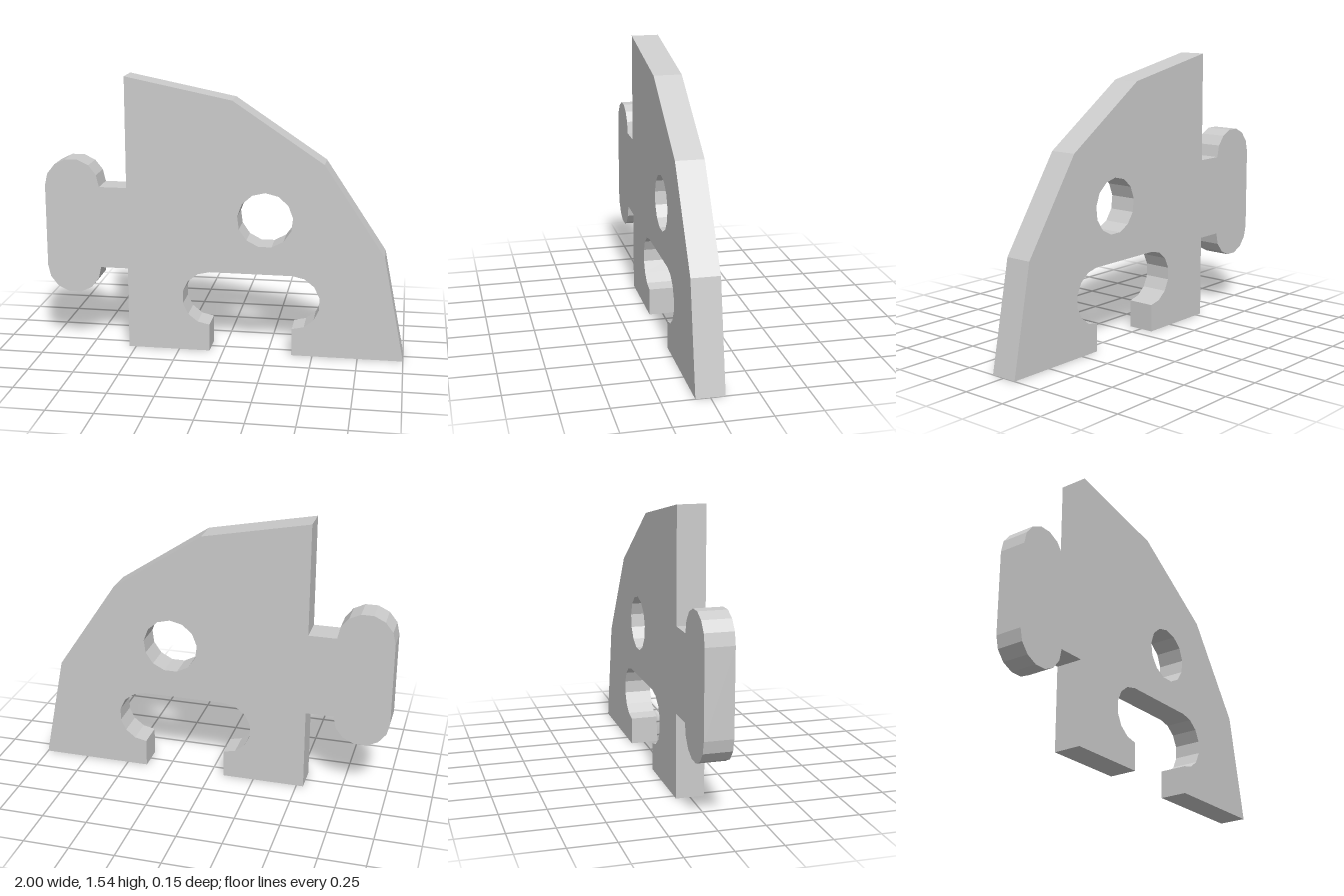
import * as THREE from 'three';

const U = 2 / 13; // grid module: the plate is 13 modules wide and 10 high

// Points along a polygonal arc, in modules, angles in degrees
function arc(cx, cy, r, from, to, segments) {
  return Array.from({ length: segments + 1 }, (_, i) => {
    const a = THREE.MathUtils.degToRad(from + ((to - from) * i) / segments);
    return new THREE.Vector2(cx + r * Math.cos(a), cy + r * Math.sin(a)).multiplyScalar(U);
  });
}

const pt = (x, y) => new THREE.Vector2(x * U, y * U);

export function createModel() {
  const group = new THREE.Group();
  group.name = 'quarterRoundConnectorPlate';

  const corner = -3.5; // x of the straight upright edge
  const outline = new THREE.Shape([
    // foot and keyhole slot in the bottom edge
    pt(corner, 0),
    pt(-0.5, 0),
    ...arc(-0.5, 2, 1, 270, 90, 7),
    ...arc(2.5, 2, 1, 90, -90, 7),
    pt(2.5, 0),
    // faceted quarter-round edge
    ...arc(corner, 0, 10, 0, 90, 4),
    // neck and round-ended tab
    pt(corner, 6),
    ...arc(-5.5, 6, 1, 0, 180, 7),
    ...arc(-5.5, 3, 1, 180, 360, 7),
    pt(corner, 3),
  ]);

  // round hole, one vertex at the top
  outline.holes.push(new THREE.Path(arc(1.5, 5, 1, 90, 450, 13).slice(0, -1)));

  const geometry = new THREE.ExtrudeGeometry(outline, { depth: U, bevelEnabled: false });
  geometry.translate(0, 0, -U / 2);

  const plate = new THREE.Mesh(
    geometry,
    new THREE.MeshStandardMaterial({ color: 0xcccccc, flatShading: true })
  );
  plate.name = 'plate';
  group.add(plate);
  return group;
}
